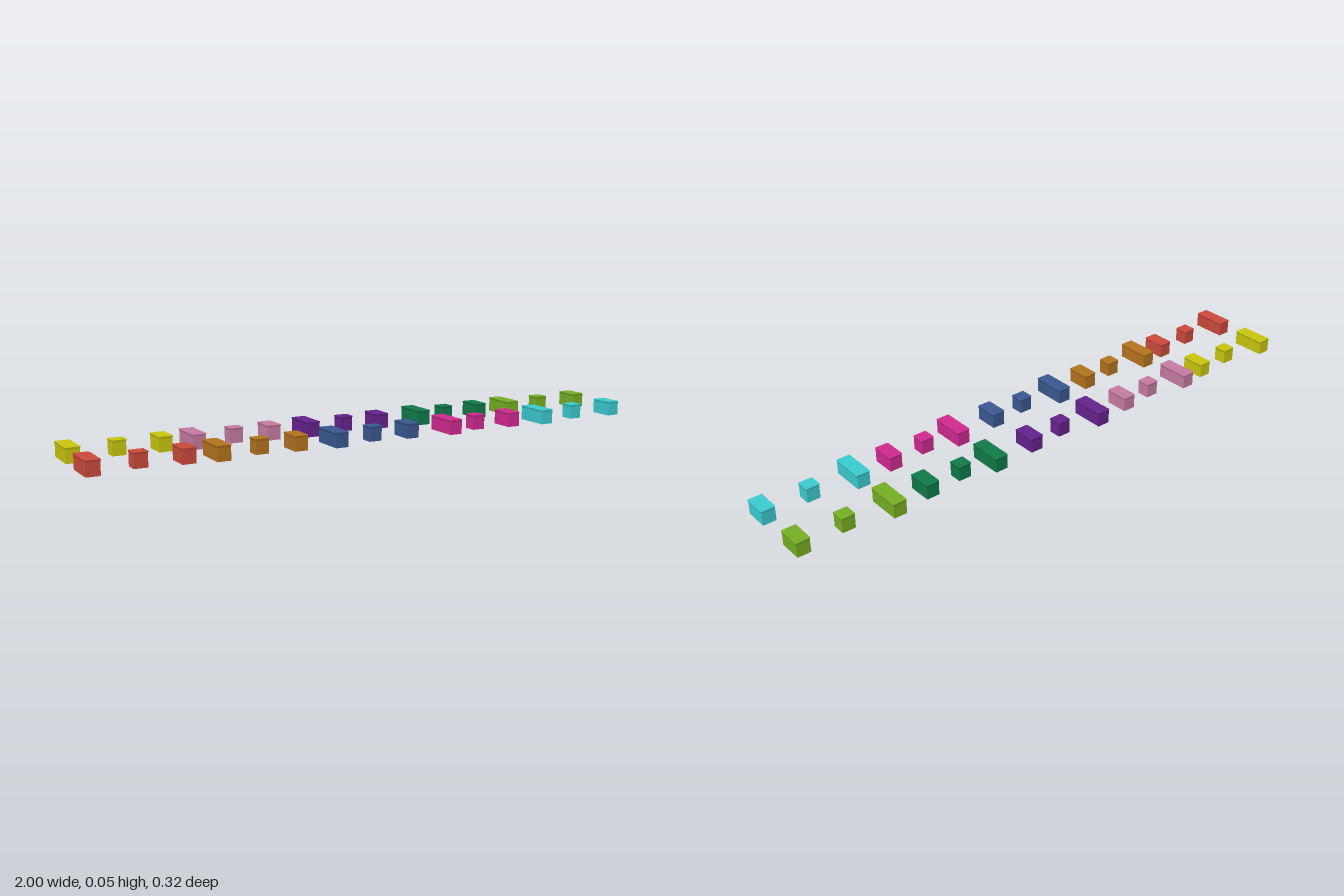
import * as THREE from 'three';

const WALL = 0.0225;  // half width of a block body
const LIP = 0.025;    // half width of the top rim
const PITCH = 0.036;  // length of one unit along z
const HEIGHT = 0.05;
const LIP_Y = 0.042;

// Rim outline: one rounded-off segment per unit, pinched in at the seams
function lipGeometry(units) {
  const half = (units * PITCH + 0.009) / 2 + 0.0015;
  const cut = LIP - WALL;
  const side = [[LIP - cut, -half], [LIP, -half + cut]];
  for (let i = 1; i < units; i++) {
    const seam = (i - units / 2) * PITCH;
    side.push([LIP, seam - 0.003], [WALL, seam], [LIP, seam + 0.003]);
  }
  side.push([LIP, half - cut], [LIP - cut, half]);
  const points = [...side, ...side.map(([x, z]) => [-x, -z])];
  const shape = new THREE.Shape(points.map(([x, z]) => new THREE.Vector2(x, z)));
  const geo = new THREE.ExtrudeGeometry(shape, { depth: HEIGHT - LIP_Y, bevelEnabled: false });
  geo.rotateX(-Math.PI / 2).translate(0, LIP_Y, 0);
  // Taper the underside of the rim back to the body walls
  const p = geo.attributes.position;
  for (let i = 0; i < p.count; i++) {
    if (p.getY(i) < LIP_Y + 0.001) {
      p.setX(i, p.getX(i) * WALL / LIP);
      p.setZ(i, p.getZ(i) * (half - 0.0015) / half);
    }
  }
  geo.computeVertexNormals();
  return geo;
}

function bodyGeometry(units) {
  const h = HEIGHT - 0.001;
  return new THREE.BoxGeometry(WALL * 2, h, units * PITCH + 0.009).translate(0, h / 2, 0);
}

export function createModel() {
  const model = new THREE.Group();
  model.name = 'blockSets';

  const rows = [
    { z: 0.1, colors: { red: 0xcb4a3c, orange: 0xb4731f, blue: 0x3b5890, magenta: 0xd0298f, cyan: 0x3bcbcf } },
    { z: -0.1, colors: { yellow: 0xc8c60f, pink: 0xc67ba3, purple: 0x66228c, green: 0x0f7a48, lime: 0x77ae24 } },
  ];
  // x of the triple, single and double block in each set
  const columns = [
    [-0.975, -0.82, -0.675],
    [-0.57, -0.427, -0.3],
    [-0.164, -0.02, 0.112],
    [0.272, 0.39, 0.525],
    [0.657, 0.814, 0.975],
  ];
  const kinds = [['tripleBlock', 3], ['singleBlock', 1], ['doubleBlock', 2]];
  const parts = kinds.map(([name, units]) => ({
    name, body: bodyGeometry(units), lip: lipGeometry(units),
  }));

  for (const { z, colors } of rows) {
    Object.entries(colors).forEach(([colorName, color], c) => {
      const material = new THREE.MeshStandardMaterial({ color });
      material.name = colorName;
      const set = new THREE.Group();
      set.name = colorName + 'Set';
      parts.forEach((part, i) => {
        const block = new THREE.Group();
        block.name = part.name;
        const body = new THREE.Mesh(part.body, material);
        body.name = 'blockBody';
        const rim = new THREE.Mesh(part.lip, material);
        rim.name = 'topRim';
        block.add(body, rim);
        block.position.set(columns[c][i], 0, z);
        set.add(block);
      });
      model.add(set);
    });
  }
  return model;
}
